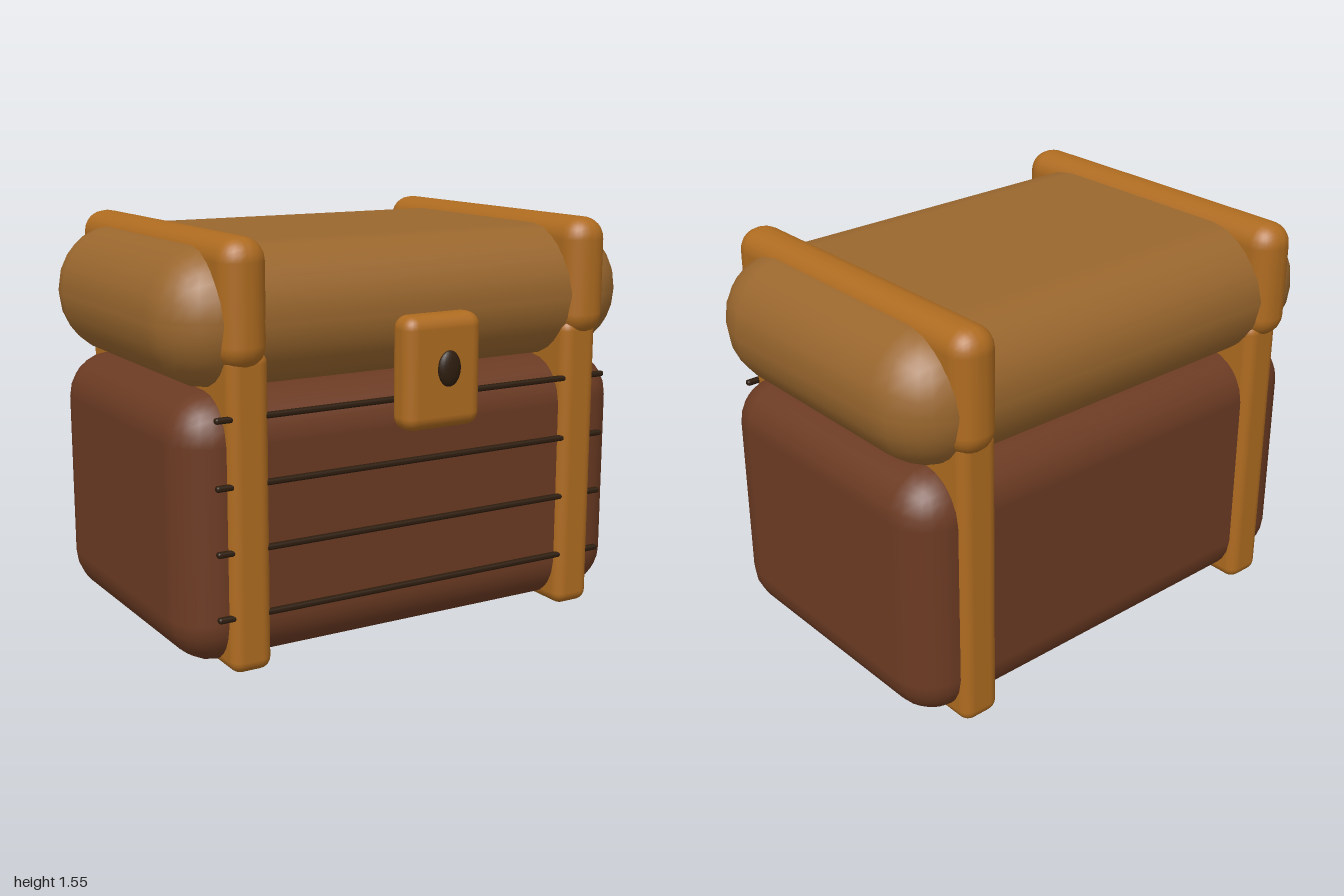
import * as THREE from 'three';
import { RoundedBoxGeometry } from 'three/addons/geometries/RoundedBoxGeometry.js';

const material = (name, color) => {
  const m = new THREE.MeshStandardMaterial({ color });
  m.name = name;
  return m;
};

export function createModel() {
  const group = new THREE.Group();
  const bodyWood = material('dark red wood', 0x6c3b23);
  const lidWood = material('light wood', 0x9a672e);
  const strapWood = material('golden strap', 0xae6b20);
  const dark = material('dark groove', 0x2e1d0e);

  // Rounded block given by its min and max corners
  function block(name, mat, min, max, radius, segments) {
    const [w, h, d] = max.map((v, i) => v - min[i]);
    const mesh = new THREE.Mesh(new RoundedBoxGeometry(w, h, d, segments, radius), mat);
    mesh.position.set((min[0] + max[0]) / 2, (min[1] + max[1]) / 2, (min[2] + max[2]) / 2);
    mesh.name = name;
    group.add(mesh);
    return mesh;
  }

  // Chest body and bulging lid
  block('body', bodyWood, [-0.963, 0.012, -0.677], [0.963, 1.003, 0.545], 0.175, 3);
  block('lid', lidWood, [-1, 1.0, -0.717], [1, 1.515, 0.582], 0.25, 3);

  // Straps around the body and the lid, mirrored left and right
  for (const [side, s] of [['left', 1], ['right', -1]]) {
    const strap = (name, x, half, y0, y1, z0, z1, r) =>
      block(side + name, strapWood, [s * x - half, y0, z0], [s * x + half, y1, z1], r, 3);
    strap('BodyStrap', 0.717, 0.08, 0.003, 1.16, -0.707, 0.58, 0.045);
    strap('LidStrap', 0.732, 0.09, 1.095, 1.552, -0.745, 0.615, 0.085);
  }

  // Grooves between the front planks
  for (const y of [0.215, 0.455, 0.692, 0.931]) {
    block('plankGroove', dark, [-0.845, y - 0.011, 0.543], [0.845, y + 0.011, 0.569], 0.009, 2);
  }

  // Latch plate with keyhole
  block('latch', strapWood, [-0.163, 0.832, 0.578], [0.163, 1.25, 0.705], 0.05, 3);
  const keyhole = new THREE.Mesh(new THREE.SphereGeometry(1, 20, 14), dark);
  keyhole.scale.set(0.047, 0.066, 0.021);
  keyhole.position.set(0, 1.06, 0.724);
  keyhole.name = 'keyhole';
  group.add(keyhole);

  return group;
}
